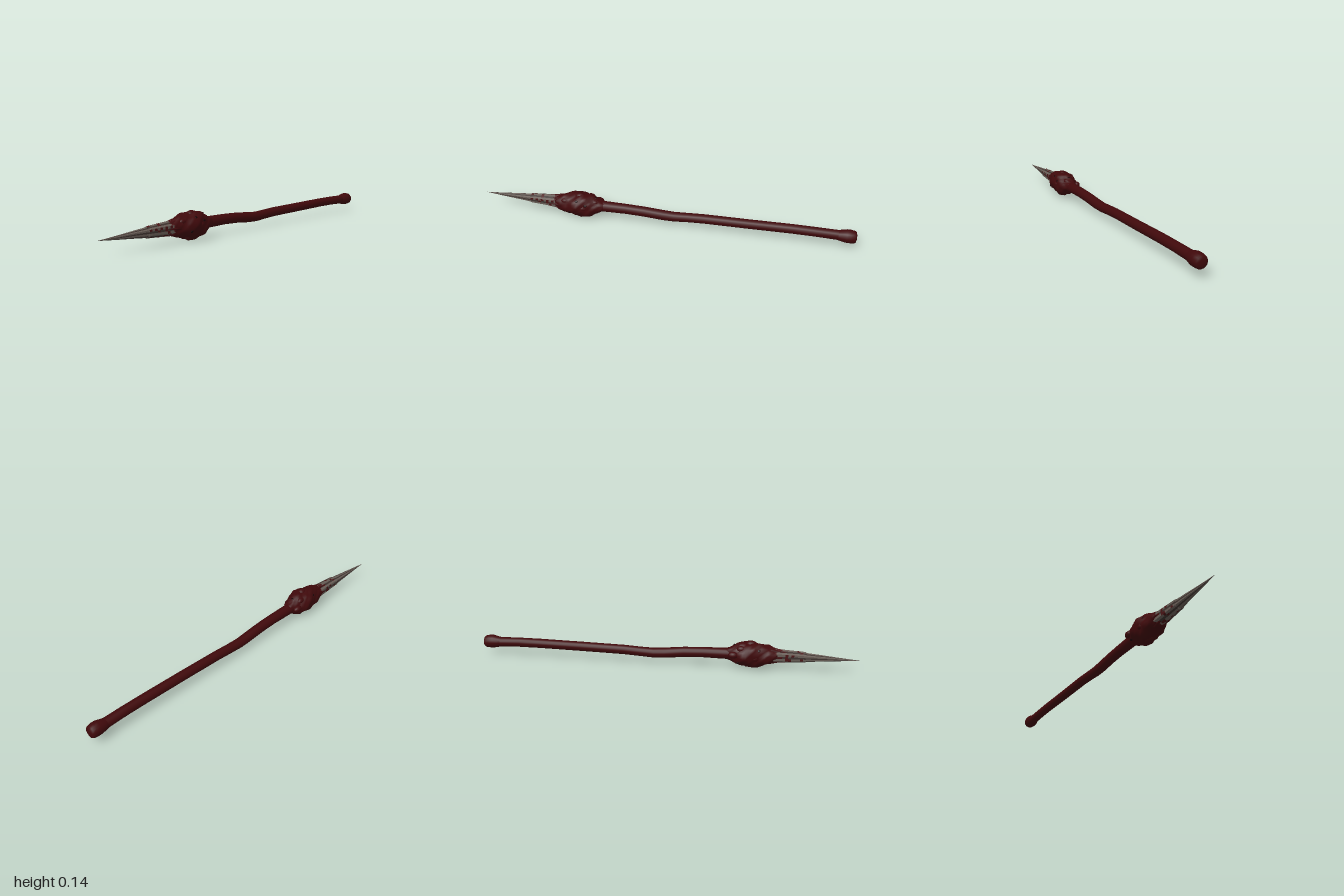
import * as THREE from 'three';

// Skin over rings [x, y, z, radius] that follow the x axis (x increasing).
function loft(rings, sides, bump = () => 1) {
  const pos = [], index = [];
  rings.forEach(([x, y, z, r]) => {
    for (let j = 0; j < sides; j++) {
      const a = (j / sides) * Math.PI * 2;
      const k = r * bump(x, a);
      pos.push(x, y + Math.cos(a) * k, z + Math.sin(a) * k);
    }
  });
  for (let i = 0; i < rings.length - 1; i++) {
    for (let j = 0; j < sides; j++) {
      const a = i * sides + j, b = i * sides + (j + 1) % sides;
      index.push(a, b, a + sides, b, b + sides, a + sides);
    }
  }
  const g = new THREE.BufferGeometry();
  g.setAttribute('position', new THREE.Float32BufferAttribute(pos, 3));
  g.setIndex(index);
  g.computeVertexNormals();
  return g;
}

// Small seeded random numbers from 0 to 1
function seeded(seed) {
  return () => (seed = (seed * 16807) % 2147483647) / 2147483647;
}

export function createModel() {
  const model = new THREE.Group();
  const paint = (name, color) => new THREE.MeshStandardMaterial({ name, color });
  const wood = paint('darkRedWood', 0x40090b);
  const bone = paint('greyBlade', 0x675c55);
  const groove = paint('darkGroove', 0x3d322e);
  const stain = paint('redStain', 0x4a1415);
  const hollow = paint('darkHollow', 0x1c0405);
  const add = (name, geometry, material) => {
    const mesh = new THREE.Mesh(geometry, material);
    mesh.name = name;
    model.add(mesh);
    return mesh;
  };

  // Gently bent shaft
  add('shaft', loft([
    [-0.42, 0.072, -0.006, 0.03], [-0.33, 0.072, -0.006, 0.029], [-0.2, 0.072, -0.006, 0.027],
    [-0.1, 0.068, -0.007, 0.027], [0, 0.059, -0.009, 0.027], [0.06, 0.056, -0.011, 0.026],
    [0.13, 0.06, -0.012, 0.025], [0.22, 0.065, -0.011, 0.025], [0.45, 0.069, -0.008, 0.025],
    [0.68, 0.073, -0.007, 0.025], [0.8, 0.073, -0.006, 0.025], [0.93, 0.07, -0.006, 0.026],
  ], 16), wood);

  // Swollen butt with a softly rounded end
  add('butt', loft([
    [0.9, 0.07, -0.006, 0.024], [0.925, 0.07, -0.006, 0.03], [0.95, 0.071, -0.005, 0.035],
    [0.97, 0.071, -0.005, 0.035], [0.99, 0.07, -0.005, 0.032],
    [0.997, 0.07, -0.005, 0.027], [1, 0.07, -0.005, 0.015], [1, 0.07, -0.005, 0],
  ], 16), wood);

  // Gnarled head, swelling and narrowing with lumps and hollows
  const profile = new THREE.SplineCurve([
    [-0.585, 0.034], [-0.55, 0.046], [-0.5, 0.058], [-0.45, 0.066],
    [-0.4, 0.06], [-0.365, 0.046], [-0.34, 0.034], [-0.32, 0.027],
  ].map(([x, r]) => new THREE.Vector2(x, r)));
  const rings = profile.getPoints(22).map(p => [p.x, 0.073, -0.002, p.y]);
  rings.unshift([-0.58, 0.073, -0.002, 0]);
  const gnarl = (x, a) => 1 + 0.06 * Math.sin(3 * a + x * 45)
    + 0.05 * Math.sin(5 * a - x * 70) + 0.03 * Math.sin(8 * a + x * 130);
  add('gnarledHead', loft(rings, 26, gnarl), wood);

  // Knots standing out of the head: [x, angle from up towards +z, distance, size]
  [
    [-0.36, -1.45, 0.045, 0.018], [-0.45, 0.1, 0.052, 0.02], [-0.46, 3.1, 0.052, 0.021],
    [-0.43, 1.5, 0.045, 0.018], [-0.47, -1.7, 0.044, 0.018], [-0.41, 2.3, 0.045, 0.018],
    [-0.4, -0.7, 0.046, 0.017], [-0.53, 0.8, 0.038, 0.015], [-0.37, 0.5, 0.032, 0.015],
  ].forEach(([x, a, d, s]) => {
    const knot = add('knot', new THREE.SphereGeometry(s, 10, 8), wood);
    knot.position.set(x, 0.073 + Math.cos(a) * d, -0.002 + Math.sin(a) * d);
    knot.rotation.x = a;
    knot.scale.x = 1.5;
  });

  // Small dark hollows lying on the head: [x, angle, base radius]
  [
    [-0.365, 0, 0.046], [-0.41, 1.15, 0.062], [-0.46, 0.85, 0.066], [-0.5, 1.9, 0.058],
    [-0.385, -2.2, 0.055], [-0.49, -0.9, 0.06],
  ].forEach(([x, a, r]) => {
    const pit = add('hollow', new THREE.SphereGeometry(0.007, 8, 6), hollow);
    const d = r * gnarl(x, a);
    pit.position.set(x, 0.073 + Math.cos(a) * d, -0.002 + Math.sin(a) * d);
    pit.rotation.x = a;
    pit.scale.set(1.2, 0.4, 1);
  });

  // Long pointed blade: grey facets, dark grooves, red stains towards the head
  const sides = 18;
  const ridged = (x, a) => 1 + 0.08 * Math.cos(6 * a);
  const bladeRings = [
    [-1, 0.071, -0.009, 0], [-0.9, 0.071, -0.007, 0.0085], [-0.8, 0.072, -0.006, 0.017],
    [-0.73, 0.072, -0.005, 0.023], [-0.73, 0.072, -0.005, 0.026],
  ];
  for (let x = -0.715; x < -0.55; x += 0.015) {
    bladeRings.push([x, 0.073, -0.004, 0.026 + (x + 0.73) * 0.058]);
  }
  const blade = loft(bladeRings, sides, ridged).toNonIndexed();
  blade.computeVertexNormals();
  const random = seeded(11);
  for (let i = 0; i < bladeRings.length - 1; i++) {
    for (let j = 0; j < sides; j++) {
      const stained = i > 3 && random() < 0.05 + 0.03 * (i - 3);
      blade.addGroup((i * sides + j) * 6, 6, stained ? 2 : j % 3 === 1 ? 1 : 0);
    }
  }
  add('blade', blade, [bone, groove, stain]);

  // Thin roots of the head gripping the blade
  for (let i = 0; i < 6; i++) {
    const a = (i + 0.5) / 6 * Math.PI * 2;
    const tip = -0.61 - 0.02 * (i % 3);
    const at = (x, d) => [x, 0.073 + Math.cos(a) * d, -0.003 + Math.sin(a) * d];
    add('root', loft([
      [...at(tip, 0.029), 0], [...at(-0.59, 0.031), 0.005], [...at(-0.55, 0.036), 0.01],
    ], 6), wood);
  }
  return model;
}
